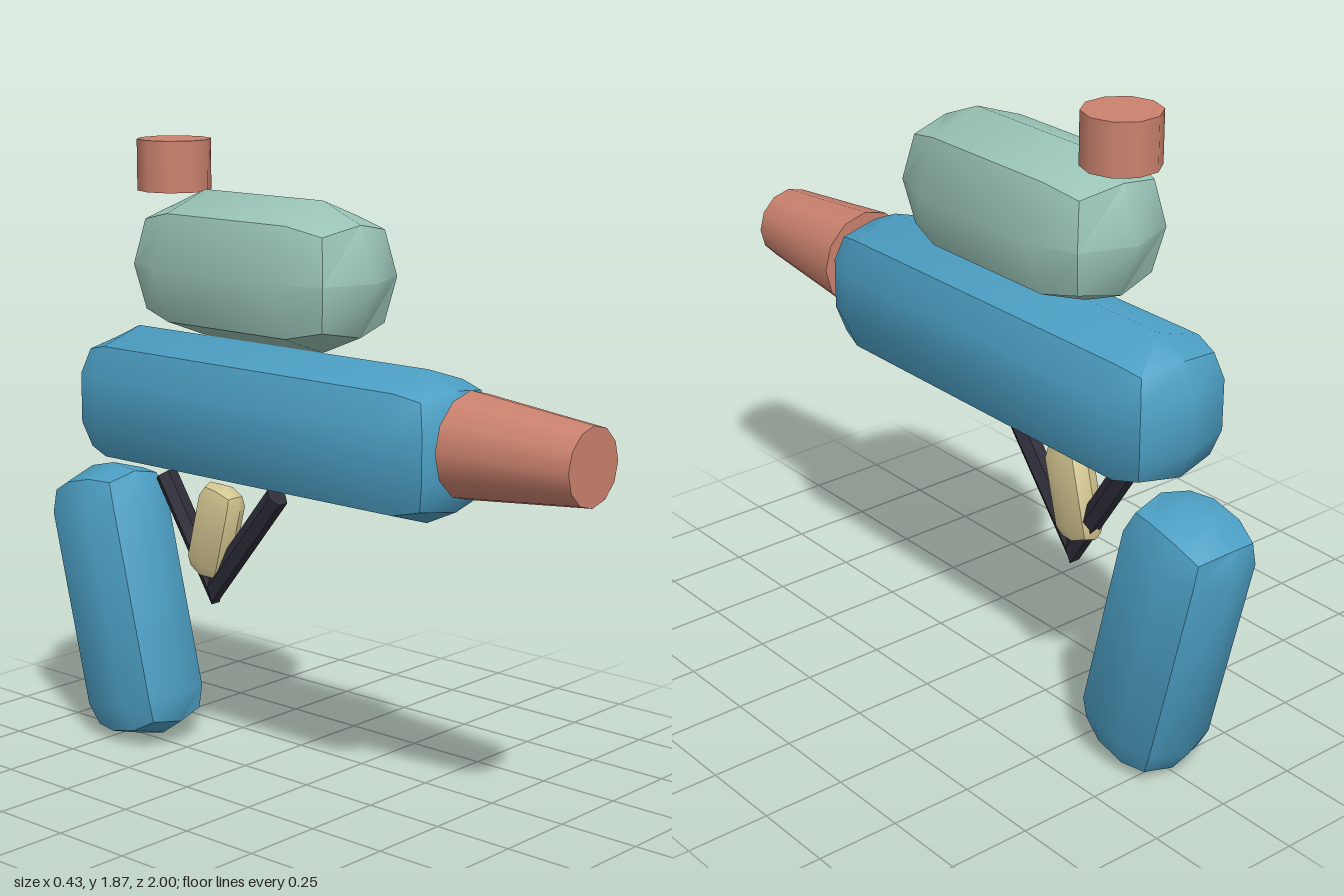
import * as THREE from 'three';
import { toCreasedNormals } from 'three/addons/utils/BufferGeometryUtils.js';

// Box whose edges and corners are pulled in. Each row is [x, y, z] half sizes:
// face centre, edge, corner and the inner grid lines.
function puffedBox(segments, { face, edge, corner, inner }) {
  const geometry = new THREE.BoxGeometry(2, 2, 2, ...segments);
  geometry.deleteAttribute('uv');
  const pos = geometry.attributes.position;
  for (let i = 0; i < pos.count; i++) {
    const p = [pos.getX(i), pos.getY(i), pos.getZ(i)];
    const extremes = p.filter((v) => Math.abs(v) > 0.99).length;
    const outer = [face, edge, corner][extremes - 1];
    const q = p.map((v, a) => {
      if (Math.abs(v) < 0.01) return 0;
      return Math.sign(v) * (Math.abs(v) > 0.99 ? outer[a] : inner[a]);
    });
    pos.setXYZ(i, ...q);
  }
  return toCreasedNormals(geometry, Math.PI / 4);
}

// Hexagonal bar from top to bottom, its lower end mitred on the plane z = bottom.z
function mitredBar(top, bottom, radius) {
  const axis = top.clone().sub(bottom);
  const length = axis.length();
  axis.normalize();
  const geometry = new THREE.CylinderGeometry(radius, radius, length, 6, 1, false, Math.PI / 2);
  geometry.translate(0, length / 2, 0);
  geometry.rotateX(Math.atan2(axis.z, axis.y));
  geometry.translate(bottom.x, bottom.y, bottom.z);
  const pos = geometry.attributes.position;
  const p = new THREE.Vector3();
  for (let i = 0; i < pos.count; i++) {
    p.fromBufferAttribute(pos, i);
    if (p.clone().sub(bottom).dot(axis) < length / 2) {
      p.addScaledVector(axis, (bottom.z - p.z) / axis.z);
      pos.setXYZ(i, p.x, p.y, p.z);
    }
  }
  return toCreasedNormals(geometry, Math.PI / 4);
}

export function createModel() {
  const group = new THREE.Group();
  const material = (name, color) => {
    const m = new THREE.MeshStandardMaterial({ color });
    m.name = name;
    return m;
  };
  const blue = material('blue plastic', 0x4c9fc4);
  const green = material('pale green plastic', 0x9ac4b7);
  const coral = material('coral plastic', 0xcb826e);
  const cream = material('cream plastic', 0xd2c48f);
  const dark = material('dark plastic', 0x2d2c38);

  const add = (name, geometry, mat, x = 0, y = 0, z = 0, tilt = 0) => {
    const mesh = new THREE.Mesh(geometry, mat);
    mesh.name = name;
    mesh.position.set(x, y, z);
    mesh.rotation.x = tilt;
    group.add(mesh);
    return mesh;
  };

  // Main barrel body
  add('body', puffedBox([2, 3, 3], {
    face: [0.19, 0.215, 0.712],
    edge: [0.15, 0.168, 0.667],
    corner: [0.13, 0.15, 0.645],
    inner: [0, 0.075, 0.565],
  }), blue, 0, 1.095, -0.117);

  // Leaning grip behind the trigger
  add('handle', puffedBox([2, 3, 3], {
    face: [0.15, 0.43, 0.18],
    edge: [0.115, 0.395, 0.14],
    corner: [0.1, 0.375, 0.125],
    inner: [0, 0.307, 0.05],
  }), blue, 0, 0.436, -0.755, -0.24);

  // Tank on top of the body
  add('tank', puffedBox([2, 2, 3], {
    face: [0.215, 0.215, 0.43],
    edge: [0.157, 0.157, 0.37],
    corner: [0.132, 0.132, 0.345],
    inner: [0, 0, 0.23],
  }), green, 0, 1.525, -0.168);

  // Filler cap
  add('tankCap', new THREE.CylinderGeometry(0.11, 0.11, 0.15, 10, 1, false, Math.PI / 2),
    coral, 0, 1.805, -0.525);

  // Tapered nozzle
  add('nozzle', new THREE.CylinderGeometry(0.11, 0.151, 0.405, 12), coral, 0, 1.12, 0.7975, Math.PI / 2);

  // Trigger
  add('trigger', puffedBox([2, 3, 2], {
    face: [0.052, 0.152, 0.077],
    edge: [0.038, 0.138, 0.06],
    corner: [0.03, 0.13, 0.05],
    inner: [0, 0.1, 0],
  }), cream, 0, 0.72, -0.365, 0.25);

  // V-shaped trigger guard
  const tip = new THREE.Vector3(0, 0.55, -0.37);
  add('guardFront', mitredBar(new THREE.Vector3(0, 0.865, -0.115), tip, 0.035), dark);
  add('guardRear', mitredBar(new THREE.Vector3(0, 0.865, -0.575), tip, 0.035), dark);

  return group;
}
